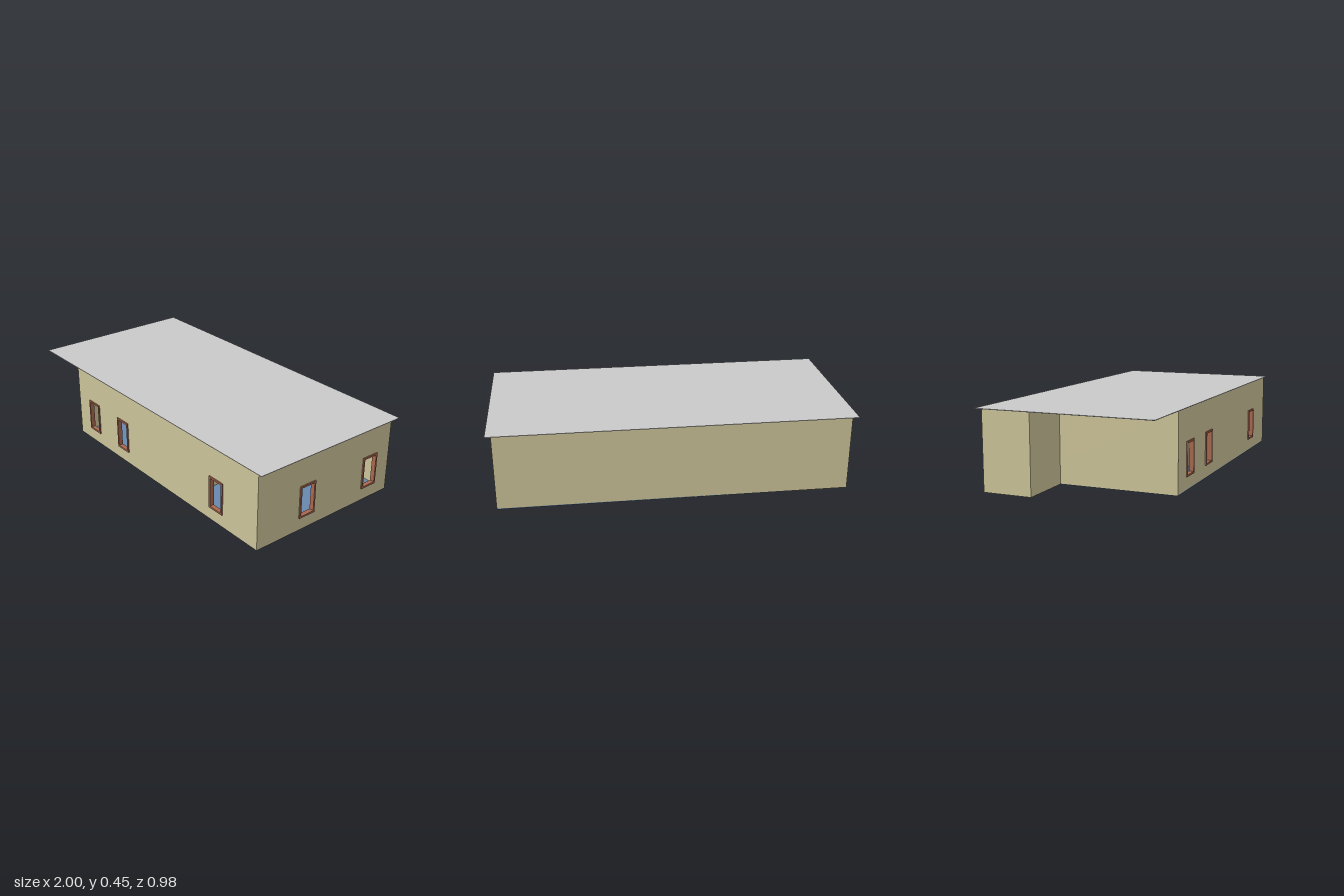
import * as THREE from 'three';

const mat = (name, color) => Object.assign(new THREE.MeshStandardMaterial({ color }), { name });

export function createModel() {
  const house = new THREE.Group();
  house.name = 'house';
  const khaki = mat('khaki wall', 0xcbc298), grey = mat('grey roof', 0xc9c9c9);
  const blue = mat('blue floor', 0x6888ad), rust = mat('rust frame', 0xa6674f);
  const brown = mat('brown wood', 0x955020), pale = mat('pale fitting', 0xd9d9e4);
  const cream = mat('cream knob', 0xdfdcb8);

  const FLOOR = 0.012, TOP = 0.444, T = 0.012;
  const WIN = [0.083, 0.268], WIN_W = 0.105;

  const add = (name, geo, material, parent = house) => {
    const m = new THREE.Mesh(geo, material);
    m.name = name;
    parent.add(m);
    return m;
  };
  // Box given by its minimum and maximum corners
  const box = (name, [x0, y0, z0], [x1, y1, z1], material, parent) => {
    const m = add(name, new THREE.BoxGeometry(x1 - x0, y1 - y0, z1 - z0), material, parent);
    m.position.set((x0 + x1) / 2, (y0 + y1) / 2, (z0 + z1) / 2);
    return m;
  };
  const rect = (Type, x0, y0, x1, y1) => new Type([
    new THREE.Vector2(x0, y0), new THREE.Vector2(x1, y0),
    new THREE.Vector2(x1, y1), new THREE.Vector2(x0, y1)]);
  // Upright rectangular slab with rectangular holes, centred on its thickness
  const slab = (x0, y0, x1, y1, holes, depth) => {
    const s = rect(THREE.Shape, x0, y0, x1, y1);
    s.holes = holes.map(h => rect(THREE.Path, ...h));
    return new THREE.ExtrudeGeometry(s, { depth, bevelEnabled: false }).translate(0, 0, -depth / 2);
  };

  // Wall along x (at a given z) or along z (at a given x), with windows and doors
  function wall(name, axis, from, to, at, windows = [], doors = []) {
    const g = new THREE.Group();
    g.name = name;
    if (axis === 'x') g.position.z = at;
    else { g.position.x = at; g.rotation.y = -Math.PI / 2; }
    house.add(g);
    const half = WIN_W / 2, b = 0.01;
    const holes = windows.map(c => [c - half + b / 2, WIN[0] + b / 2, c + half - b / 2, WIN[1] - b / 2]);
    add(name + 'Panel', slab(from, FLOOR, to, TOP, holes, T), khaki, g);
    for (const c of windows) {
      add('windowFrame', slab(c - half, WIN[0], c + half, WIN[1],
        [[c - half + b, WIN[0] + b, c + half - b, WIN[1] - b]], 0.026), rust, g);
    }
    for (const c of doors) {
      add('doorFrame', slab(c - 0.055, 0, c + 0.055, 0.23,
        [[c - 0.047, 0.012, c + 0.047, 0.216]], 0.018), rust, g);
      box('doorLeaf', [c - 0.047, 0.012, -0.008], [c + 0.047, 0.216, 0.008], brown, g);
      for (const side of [-1, 1]) {
        const k = add('doorKnob', new THREE.CylinderGeometry(0.014, 0.014, 0.008, 16).rotateX(Math.PI / 2), cream, g);
        k.position.set(c, 0.113, side * 0.012);
      }
    }
  }

  const h = T / 2, BACK = -0.465, FRONT = 0.475, R = 0.97, INNER = -0.66, MID = -0.19;
  // Outer walls
  wall('frontWall', 'x', INNER, R, FRONT - h, [-0.488, -0.187, 0.657]);
  wall('backWall', 'x', -R, R, BACK + h);
  wall('rightWall', 'z', BACK + T, FRONT - T, R - h, [0.142, -0.316]);
  wall('wingEndWall', 'z', BACK + T, MID, -R + h);
  wall('wingFrontWall', 'x', -R + T, INNER, MID - h);
  wall('porchWall', 'z', BACK + T, FRONT - T, INNER + h, [], [-0.315]);
  // Partitions
  wall('corridorWall', 'x', INNER + T, R - T, MID + h, [], [-0.145, 0.105, 0.655]);
  wall('partitionLeft', 'z', MID + T, FRONT - T, 0.01);
  wall('partitionRight', 'z', MID + T, FRONT - T, 0.363, [], [0.375]);
  wall('closetWall', 'x', 0.016, 0.357, 0.08);

  // Floors and flat roof
  box('floor', [INNER, 0.01, BACK], [R, 0.015, FRONT], blue);
  box('wingFloor', [-R, 0.01, BACK], [INNER, 0.015, MID], khaki);
  box('roof', [-1, TOP, -0.49], [1, 0.447, 0.485], grey);

  // Furniture, with bases just below the floor
  box('deskTop', [-0.53, 0.092, -0.05], [-0.435, 0.104, 0.05], brown);
  box('deskPedestal', [-0.5, 0.008, -0.04], [-0.43, 0.092, 0.03], brown);
  const screen = box('deskScreen', [-0.462, 0.104, -0.03], [-0.454, 0.2, 0.03], pale);
  screen.rotation.z = -0.12;
  box('cabinet', [0.22, 0.009, 0.1], [0.32, 0.15, 0.19], brown);
  box('basin', [0.03, 0.009, 0.005], [0.075, 0.1, 0.07], grey);
  box('wardrobe', [0.4, 0.014, 0.13], [0.5, 0.22, 0.22], brown);
  box('wardrobeDoor', [0.5, 0.014, 0.14], [0.506, 0.212, 0.21], rust);
  box('pipeLong', [0.06, 0.009, 0.095], [0.2, 0.014, 0.1], brown);
  box('pipeShort', [0.06, 0.009, 0.07], [0.065, 0.014, 0.1], brown);

  return house;
}
